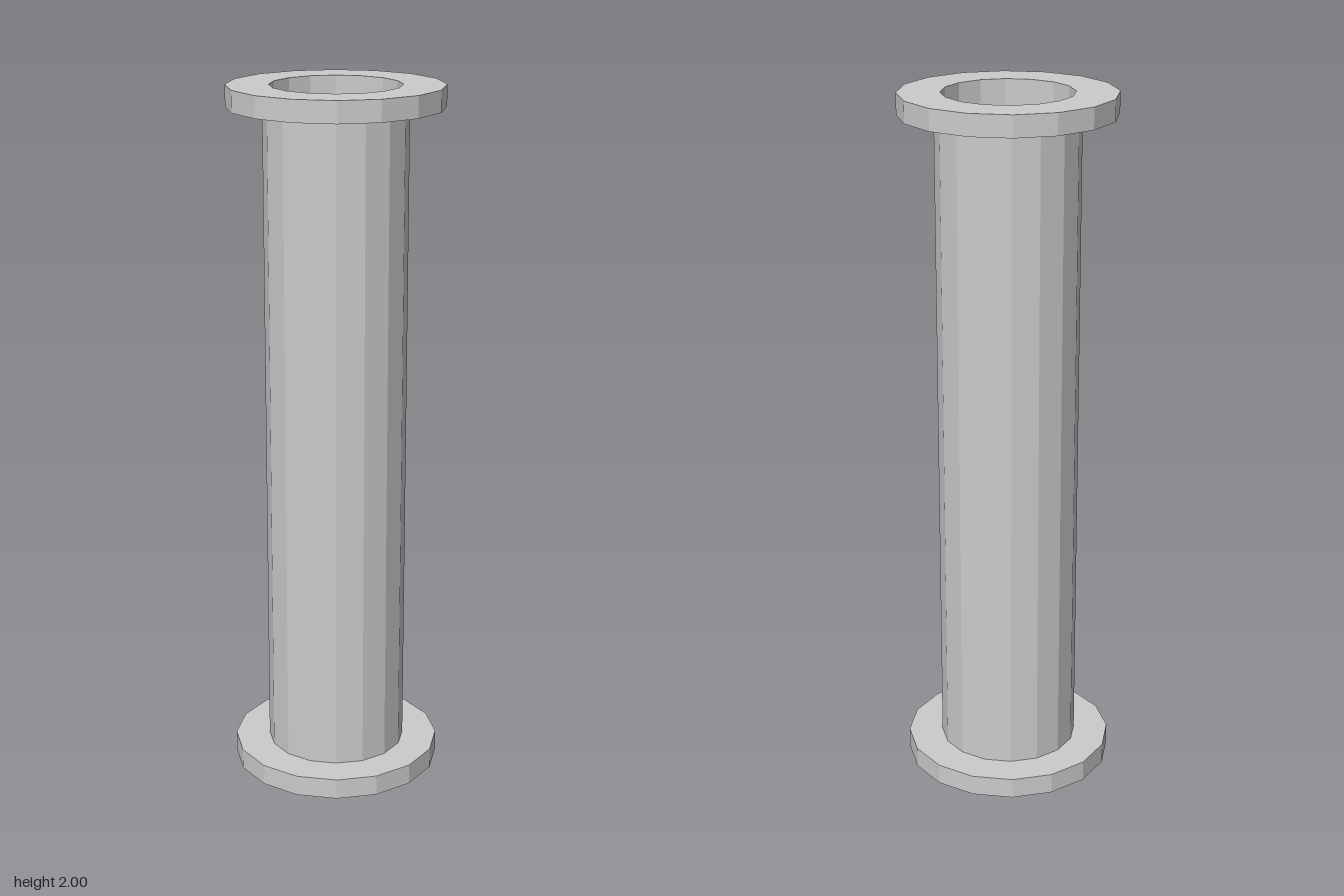
import * as THREE from 'three';

const SIDES = 16;
const HEIGHT = 2, FLANGE_T = 0.06;
const BORE_R = 0.182, PIPE_R = 0.2, FLANGE_R = 0.3;

export function createModel() {
  const group = new THREE.Group();
  const material = new THREE.MeshStandardMaterial({ color: 0xcccccc, flatShading: true });

  // Revolves an [radius, y] profile; rising points face outward
  const addLathe = (name, profile) => {
    const points = profile.map(([r, y]) => new THREE.Vector2(r, y));
    const mesh = new THREE.Mesh(new THREE.LatheGeometry(points, SIDES), material);
    mesh.name = name;
    group.add(mesh);
  };

  // Pipe wall between the flanges, and the bore running right through
  addLathe('pipeWall', [[PIPE_R, FLANGE_T], [PIPE_R, HEIGHT - FLANGE_T]]);
  addLathe('bore', [[BORE_R, HEIGHT], [BORE_R, 0]]);

  // End flanges: flat rings joined to the bore outside and the pipe wall inside
  addLathe('bottomFlange', [[BORE_R, 0], [FLANGE_R, 0], [FLANGE_R, FLANGE_T], [PIPE_R, FLANGE_T]]);
  addLathe('topFlange', [
    [PIPE_R, HEIGHT - FLANGE_T], [FLANGE_R, HEIGHT - FLANGE_T], [FLANGE_R, HEIGHT], [BORE_R, HEIGHT],
  ]);

  return group;
}
